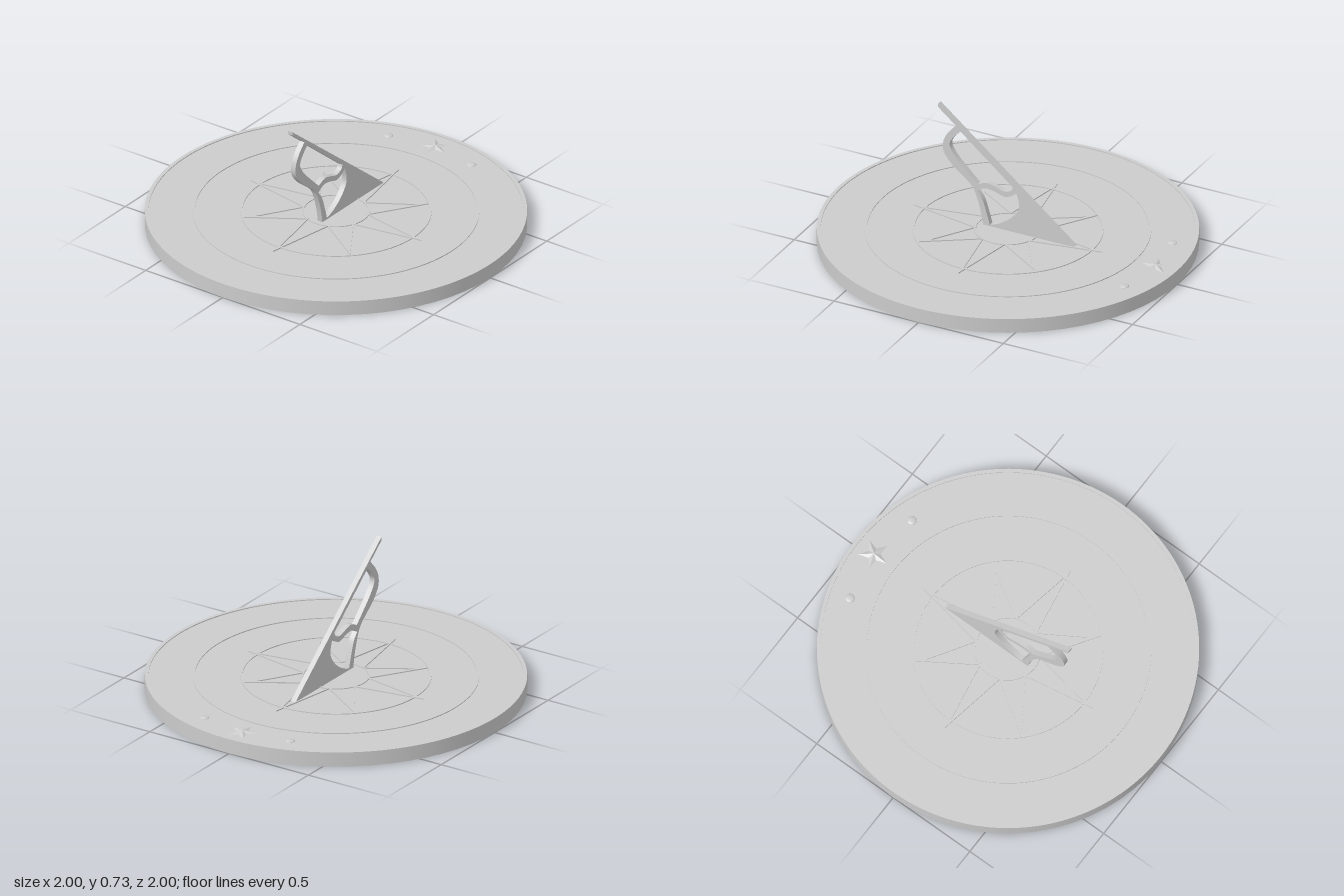
import * as THREE from 'three';

const material = new THREE.MeshStandardMaterial({ color: 0xcccccc });
const FACE = 0.076; // height of the dial face
const SEG = 64;

function add(parent, geometry, name) {
  const mesh = new THREE.Mesh(geometry, material);
  mesh.name = name;
  parent.add(mesh);
  return mesh;
}

const points = (list) => list.map(([a, b]) => new THREE.Vector2(a, b));

// Star outline from alternating tip and valley radii; first tip points to the back
function starPoints(count, tipRadius, valleyRadius) {
  const pts = [];
  for (let i = 0; i < count * 2; i++) {
    const r = i % 2 ? valleyRadius : tipRadius(i / 2);
    const a = Math.PI / 2 + (i * Math.PI) / count;
    pts.push(new THREE.Vector2(r * Math.cos(a), r * Math.sin(a)));
  }
  return pts;
}

// Thin raised relief lying on the dial face
function relief(shape, height) {
  return new THREE.ExtrudeGeometry(shape, { depth: height, bevelEnabled: false, curveSegments: SEG })
    .rotateX(-Math.PI / 2).translate(0, FACE, 0);
}

function buildDial() {
  const dial = new THREE.Group();
  dial.name = 'dial';
  add(dial, new THREE.CylinderGeometry(1, 1, FACE, SEG).translate(0, FACE / 2, 0), 'plate');

  // Raised rim and concentric rings
  [['rim', 0.98, 1], ['outerRing', 0.738, 0.75], ['middleRing', 0.489, 0.501], ['innerRing', 0.169, 0.177]]
    .forEach(([name, inner, outer]) => {
      const ring = new THREE.Shape().absarc(0, 0, outer, 0, Math.PI * 2, false);
      ring.holes.push(new THREE.Path().absarc(0, 0, inner, 0, Math.PI * 2, true));
      add(dial, relief(ring, 0.005), name);
    });

  // Eight-armed compass rose as a raised outline
  const rose = new THREE.Shape(starPoints(8, (i) => (i % 2 ? 0.49 : 0.555), 0.178));
  rose.holes.push(new THREE.Path(starPoints(8, (i) => (i % 2 ? 0.43 : 0.5), 0.165).reverse()));
  add(dial, relief(rose, 0.006), 'compassRose');

  // Faceted five-pointed star, one tip towards the centre
  const outline = starPoints(5, () => 0.085, 0.034);
  const facets = [];
  outline.forEach((p, i) => {
    const q = outline[(i + 1) % outline.length];
    facets.push(0, 0.014, 0, p.x, 0, p.y, q.x, 0, q.y);
  });
  // Swap the corners so that the facets face upwards
  for (let i = 0; i < facets.length; i += 9) {
    for (let k = 0; k < 3; k++) {
      [facets[i + 3 + k], facets[i + 6 + k]] = [facets[i + 6 + k], facets[i + 3 + k]];
    }
  }
  const starGeometry = new THREE.BufferGeometry();
  starGeometry.setAttribute('position', new THREE.Float32BufferAttribute(facets, 3));
  starGeometry.computeVertexNormals();
  add(dial, starGeometry, 'star').position.set(0, FACE, -0.875);

  // Low studs either side of the star
  for (const side of [-1, 1]) {
    const stud = add(dial, new THREE.SphereGeometry(0.025, 20, 8, 0, Math.PI * 2, 0, Math.PI / 2),
      side > 0 ? 'leftStud' : 'rightStud');
    stud.scale.y = 0.3;
    stud.position.set(side * 0.27, FACE, -0.83);
  }
  return dial;
}

function buildGnomon() {
  // Profile in (z, y): sloping blade, curved scroll support in front
  const shape = new THREE.Shape();
  shape.moveTo(-0.4, FACE);
  shape.lineTo(0.1, FACE);
  shape.lineTo(0.14, FACE);
  shape.splineThru(points([[0.158, 0.17], [0.198, 0.278], [0.262, 0.338], [0.326, 0.39],
    [0.372, 0.452], [0.375, 0.51], [0.35, 0.565], [0.3, 0.622]]));
  shape.lineTo(0.405, 0.707);
  shape.lineTo(0.405, 0.727);
  shape.closePath();

  // Upper opening between blade and scroll
  const upper = new THREE.Path();
  upper.moveTo(-0.037, 0.34);
  upper.lineTo(0.273, 0.594);
  upper.splineThru(points([[0.318, 0.545], [0.337, 0.497], [0.3, 0.435], [0.225, 0.358], [0.172, 0.307]]));
  upper.splineThru(points([[0.12, 0.328], [0.075, 0.32], [0.016, 0.303], [-0.025, 0.317], [-0.037, 0.34]]));

  // Lower opening above the foot
  const lower = new THREE.Path();
  lower.moveTo(0.1, 0.084);
  lower.splineThru(points([[0.045, 0.105], [-0.02, 0.15], [-0.065, 0.205], [-0.073, 0.25], [-0.058, 0.31]]));
  lower.splineThru(points([[-0.025, 0.285], [0.015, 0.272], [0.075, 0.289], [0.13, 0.293], [0.176, 0.267]]));
  lower.splineThru(points([[0.145, 0.225], [0.122, 0.16], [0.1, 0.084]]));
  shape.holes.push(upper, lower);

  return new THREE.ExtrudeGeometry(shape, { depth: 0.03, bevelEnabled: false, curveSegments: 6 })
    .translate(0, 0, -0.015).rotateY(-Math.PI / 2);
}

export function createModel() {
  const model = new THREE.Group();
  model.name = 'sundial';
  model.add(buildDial());
  add(model, buildGnomon(), 'gnomon');
  return model;
}
